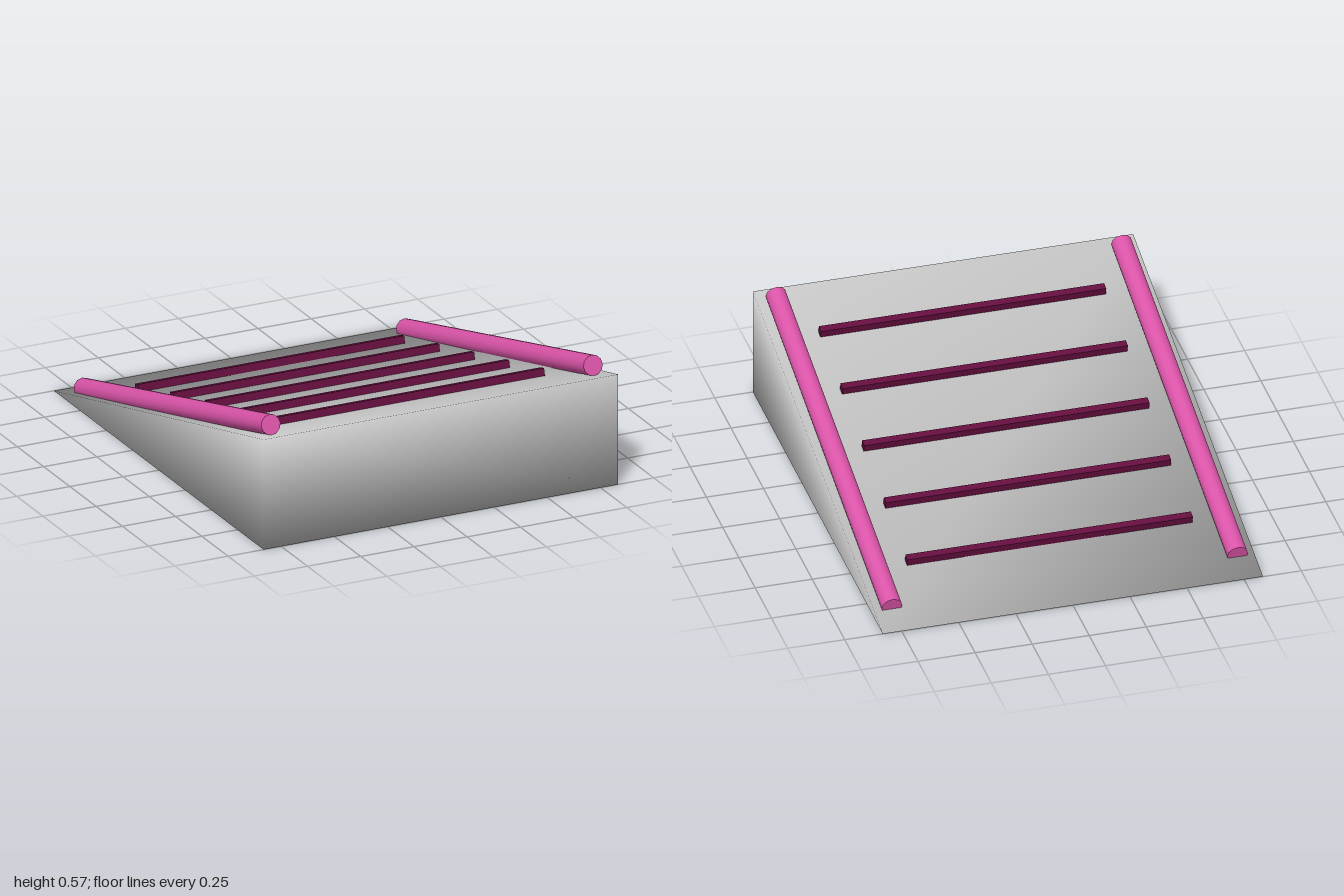
import * as THREE from 'three';

export function createModel() {
  const model = new THREE.Group();
  const mat = (name, color) => {
    const m = new THREE.MeshStandardMaterial({ color });
    m.name = name;
    return m;
  };
  const grey = mat('rampGrey', 0xcccccc);
  const pink = mat('railPink', 0xdd55aa);
  const maroon = mat('cleatMaroon', 0x660f40);
  const add = (name, geometry, material, x, y, z, tilt = 0) => {
    const mesh = new THREE.Mesh(geometry, material);
    mesh.name = name;
    mesh.position.set(x, y, z);
    mesh.rotation.x = tilt;
    model.add(mesh);
  };

  // Wedge with shared corners, so its shading is smooth across the edges
  const w = 0.833, h = 0.5;
  const wedge = new THREE.BufferGeometry();
  wedge.setAttribute('position', new THREE.Float32BufferAttribute([
    -w, 0, 1, w, 0, 1, w, 0, -1, -w, 0, -1, // base corners
    -w, h, 1, w, h, 1, // raised front edge
  ], 3));
  wedge.setIndex([
    0, 1, 4, 1, 5, 4, // front
    0, 2, 1, 0, 3, 2, // bottom
    4, 5, 2, 4, 2, 3, // slope
    1, 2, 5, 0, 4, 3, // sides
  ]);
  wedge.computeVertexNormals();
  add('rampWedge', wedge, grey, 0, 0, 0);

  // Side rails lying along the slope
  const rail = new THREE.CylinderGeometry(0.045, 0.045, 1.85, 12);
  for (const side of [-1, 1]) {
    add(side < 0 ? 'rightRail' : 'leftRail', rail, pink,
      side * 0.757, 0.284, 0.021, THREE.MathUtils.degToRad(75));
  }

  // Grip cleats across the slope
  const cleat = new THREE.BoxGeometry(1.25, 0.033, 0.033);
  for (let i = 0; i < 5; i++) {
    const z = -0.63 + i / 3;
    add(`cleat${i + 1}`, cleat, maroon, 0, 0.267 + z * 0.25, z, -Math.atan(0.25));
  }
  return model;
}
